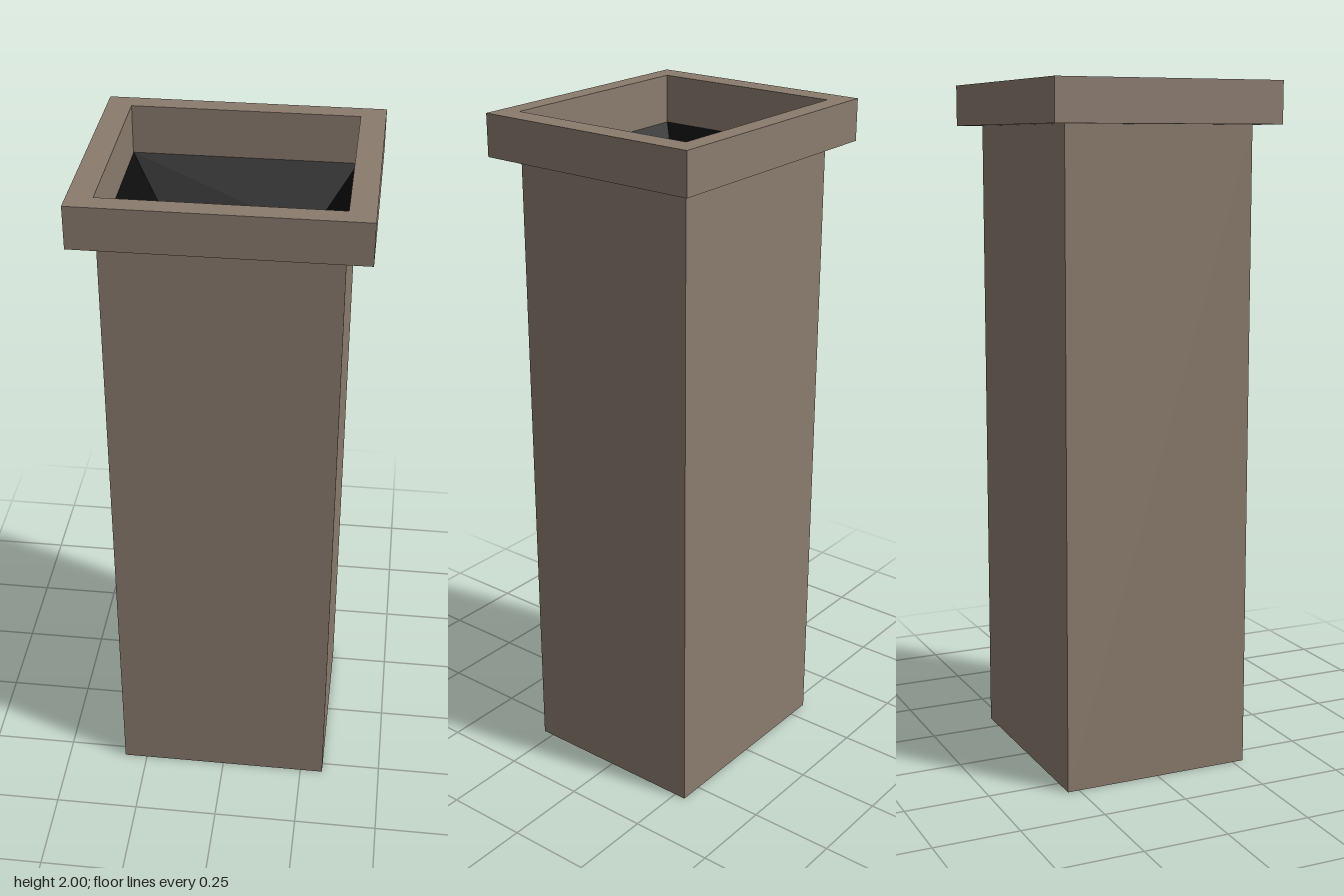
import * as THREE from 'three';

const W = 0.32, D = 0.285; // half width and half depth of the shaft

// Four-sided tube from a bottom rectangle [halfX, y, halfZ] to a top one, optionally floored
function rectTube(bottom, top, floor = false) {
  const ring = ([x, y, z]) => [[-x, y, z], [x, y, z], [x, y, -z], [-x, y, -z]];
  const b = ring(bottom), t = ring(top), pos = [];
  const quad = (p, q, r, s) => pos.push(...p, ...q, ...r, ...p, ...r, ...s);
  for (let i = 0; i < 4; i++) {
    const j = (i + 1) % 4;
    quad(b[i], b[j], t[j], t[i]);
  }
  if (floor) quad(b[3], b[2], b[1], b[0]);
  const geo = new THREE.BufferGeometry();
  geo.setAttribute('position', new THREE.Float32BufferAttribute(pos, 3));
  geo.computeVertexNormals();
  return geo;
}

// Corners of a rectangle given by its half sizes
const rect = (x, y) => [[-x, -y], [x, -y], [x, y], [-x, y]].map(p => new THREE.Vector2(...p));

export function createModel() {
  const model = new THREE.Group();
  model.name = 'chimney';
  const stone = new THREE.MeshStandardMaterial({ color: 0x8b7b6e, side: THREE.DoubleSide });
  stone.name = 'brown stone';
  const soot = new THREE.MeshStandardMaterial({ color: 0x0c0c0c, side: THREE.DoubleSide });
  soot.name = 'black soot';

  const add = (name, geo, mat) => {
    const mesh = new THREE.Mesh(geo, mat);
    mesh.name = name;
    model.add(mesh);
    return mesh;
  };

  // Thin-walled shaft, open at the bottom
  add('shaft', rectTube([W, 0, D], [W, 1.88, D]), stone);

  // Overhanging rim with the flue opening
  const shape = new THREE.Shape(rect(0.39, 0.342));
  shape.holes.push(new THREE.Path(rect(W, D).reverse()));
  const rimGeo = new THREE.ExtrudeGeometry(shape, { depth: 0.12, bevelEnabled: false });
  rimGeo.rotateX(-Math.PI / 2);
  add('rim', rimGeo, stone).position.y = 1.88;

  // Sooty funnel sunk into the opening
  add('flue', rectTube([0.2, 1.7, 0.16], [W - 0.001, 1.86, D - 0.001], true), soot);

  return model;
}
